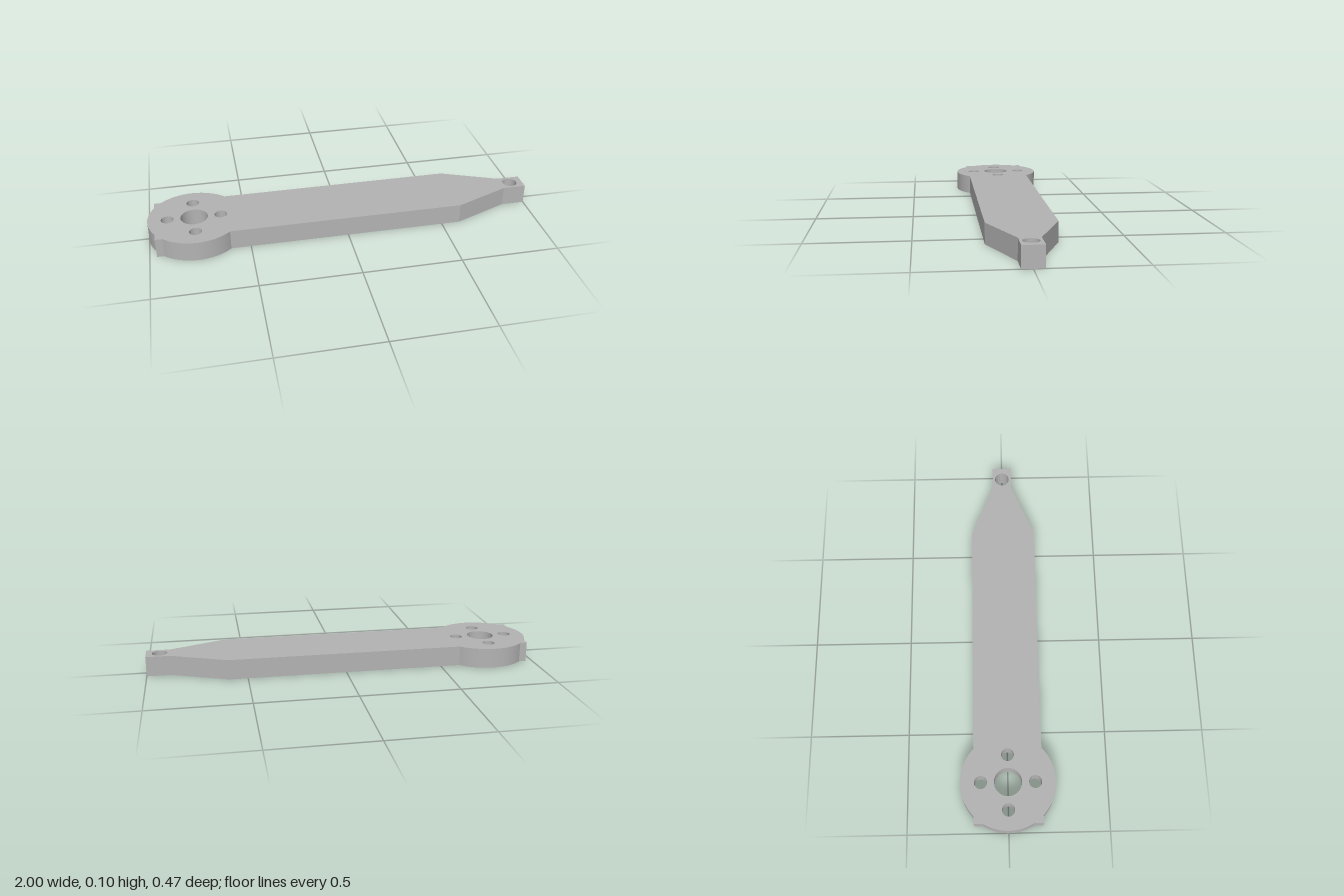
import * as THREE from 'three';
import { toCreasedNormals } from 'three/addons/utils/BufferGeometryUtils.js';

const HEIGHT = 0.102;
const HUB_X = -0.764, HUB_R = 0.236; // round hub end
const HALF = 0.169;                  // half width of the bar
const BAR_END = -0.965;              // square end of the bar, showing as small corners on the hub
const NECK = 0.051;                  // half width of the narrow tip

function circleHole(x, y, r) {
  return new THREE.Path().absarc(x, y, r, 0, Math.PI * 2, true);
}

export function createModel() {
  const group = new THREE.Group();
  const grey = new THREE.MeshStandardMaterial({ color: 0xb4b4b4 });
  grey.name = 'plain grey';

  // Outline: tapered tip, straight bar, round hub with two square corners
  const a = Math.asin(HALF / HUB_R);
  const b = Math.acos((HUB_X - BAR_END) / HUB_R);
  const outline = new THREE.Shape();
  outline.moveTo(0.595, -HALF);
  outline.lineTo(0.88, -NECK);
  outline.lineTo(1, -NECK);
  outline.lineTo(1, NECK);
  outline.lineTo(0.88, NECK);
  outline.lineTo(0.595, HALF);
  outline.absarc(HUB_X, 0, HUB_R, a, Math.PI - a, false);
  outline.lineTo(BAR_END, HALF);
  outline.absarc(HUB_X, 0, HUB_R, Math.PI - b, Math.PI + b, false);
  outline.lineTo(BAR_END, -HALF);
  outline.absarc(HUB_X, 0, HUB_R, Math.PI + a, Math.PI * 2 - a, false);
  outline.closePath();

  // Shaft hole, ring of four screw holes, tip hole
  outline.holes.push(circleHole(HUB_X - 0.002, 0, 0.069));
  for (let i = 0; i < 4; i++) {
    const t = i * Math.PI / 2;
    outline.holes.push(circleHole(HUB_X - 0.002 + 0.135 * Math.cos(t), 0.135 * Math.sin(t), 0.032));
  }
  outline.holes.push(circleHole(0.931, 0, 0.038));

  const geometry = new THREE.ExtrudeGeometry(outline, { depth: HEIGHT, bevelEnabled: false, curveSegments: 40 });
  geometry.rotateX(-Math.PI / 2);
  const arm = new THREE.Mesh(toCreasedNormals(geometry, 0.35), grey);
  arm.name = 'leverArm';
  group.add(arm);
  return group;
}
